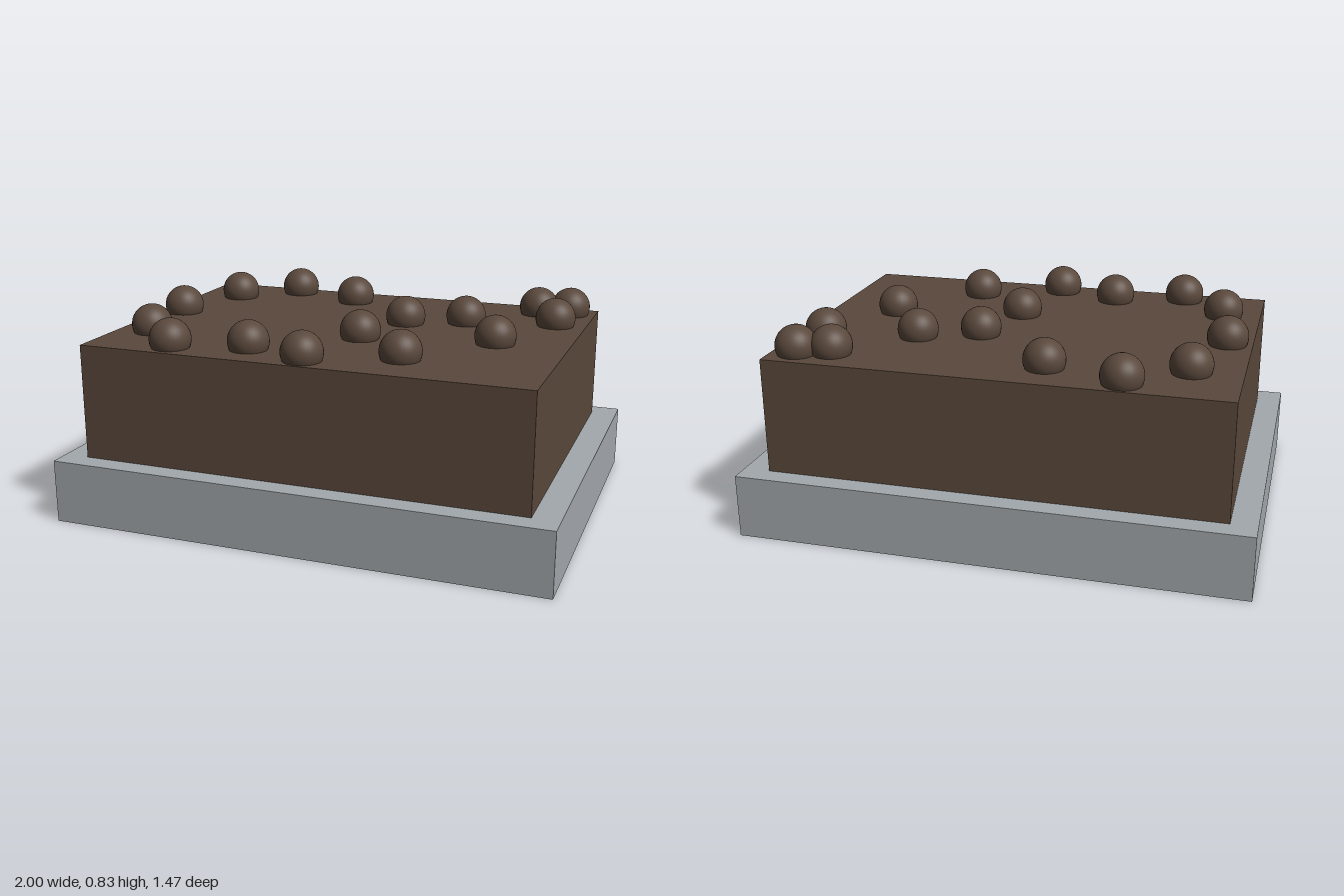
import * as THREE from 'three';

export function createModel() {
  const model = new THREE.Group();
  model.name = 'soilBed';

  const stone = new THREE.MeshStandardMaterial({ name: 'stoneGrey', color: 0xa2a8ac });
  const soil = new THREE.MeshStandardMaterial({ name: 'soilBrown', color: 0x5a483c });

  // Box placed by its bottom and top heights
  function addBlock(name, material, width, depth, bottom, top, x = 0, z = 0) {
    const mesh = new THREE.Mesh(new THREE.BoxGeometry(width, top - bottom, depth), material);
    mesh.name = name;
    mesh.position.set(x, (bottom + top) / 2, z);
    model.add(mesh);
  }

  addBlock('baseSlab', stone, 2, 1.472, 0, 0.255);
  addBlock('soilBlock', soil, 1.794, 1.304, 0.255, 0.717, -0.002, -0.002);

  // Round clods half sunk into the top of the soil: [x, z]
  const clods = [
    [-0.48, -0.57], [-0.17, -0.47], [-0.705, -0.39], [-0.8, -0.02],
    [-0.745, 0.355], [-0.553, 0.555], [-0.257, 0.48], [0, 0.565],
    [0.337, 0.425], [0.085, 0.168], [0.174, -0.142], [0.41, -0.232],
    [0.61, 0.075], [0.77, -0.315], [0.79, -0.55], [0.66, -0.515],
  ];
  const clodGeometry = new THREE.SphereGeometry(0.082, 32, 20);
  const clodGroup = new THREE.Group();
  clodGroup.name = 'clods';
  clods.forEach(([x, z], i) => {
    const clod = new THREE.Mesh(clodGeometry, soil);
    clod.name = `clod${i + 1}`;
    clod.position.set(x, 0.75, z);
    clodGroup.add(clod);
  });
  model.add(clodGroup);

  return model;
}
